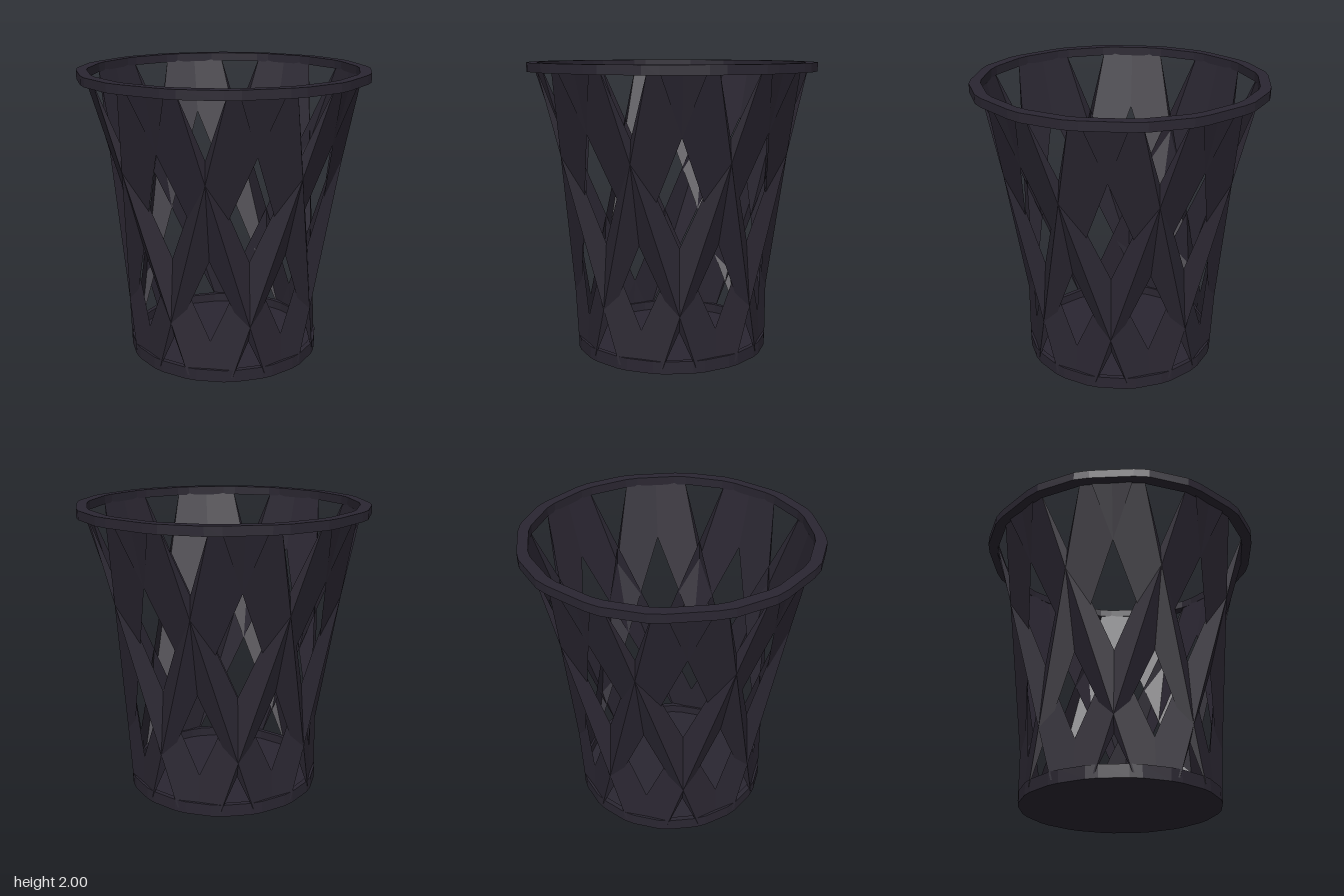
import * as THREE from 'three';

const COUNT = 8;
const material = new THREE.MeshStandardMaterial({ color: 0x2a2631, flatShading: true, side: THREE.DoubleSide });

// Closed outline: four corners per eighth turn, where the strap ends meet the hoop
function outline(PathType, corners) {
  const points = [];
  for (let i = 0; i < COUNT; i++) {
    for (const [degrees, radius] of corners) {
      const a = THREE.MathUtils.degToRad(degrees + i * 45);
      points.push(new THREE.Vector2(radius * Math.cos(a), radius * Math.sin(a)));
    }
  }
  return new PathType(points);
}

// Flat hoop with a faceted rim, lying between two heights
function hoop(name, outer, inner, bottom, top) {
  const shape = outline(THREE.Shape, outer);
  if (inner) shape.holes.push(outline(THREE.Path, inner));
  const geometry = new THREE.ExtrudeGeometry(shape, { depth: top - bottom, bevelEnabled: false });
  geometry.rotateX(-Math.PI / 2).translate(0, bottom, 0);
  const mesh = new THREE.Mesh(geometry, material);
  mesh.name = name;
  return mesh;
}

// Points on the two straight edges of the strap at height y
const leadingEdge = (y) => [0.14 + (y - 1.94) * 0.3554, y, 0.91 + (y - 1.94) * 0.277];
const trailingEdge = (y) => [0.476 + (y - 1.94) * 0.437, y, 0.795 + (y - 1.94) * 0.117];

// Slanted strap: a twisted quad folded along its diagonal
function strapGeometry(side) {
  const low = 0.03, high = 1.97;
  const a = leadingEdge(high), b = trailingEdge(high);
  const c = trailingEdge(low), d = leadingEdge(low);
  const corners = side > 0 ? [a, d, c, a, c, b] : [a, c, d, a, b, c];
  const positions = corners.flatMap(([x, y, z]) => [x * side, y, z]);
  const geometry = new THREE.BufferGeometry();
  geometry.setAttribute('position', new THREE.Float32BufferAttribute(positions, 3));
  geometry.computeVertexNormals();
  return geometry;
}

export function createModel() {
  const model = new THREE.Group();
  model.name = 'wasteBasket';

  // Lattice wall: eight straps leaning each way
  const wall = new THREE.Group();
  wall.name = 'latticeWall';
  for (const side of [1, -1]) {
    const geometry = strapGeometry(side);
    for (let i = 0; i < COUNT; i++) {
      const strap = new THREE.Mesh(geometry, material);
      strap.name = side > 0 ? 'leftLeaningStrap' : 'rightLeaningStrap';
      strap.rotation.y = (i * Math.PI) / 4;
      wall.add(strap);
    }
  }
  model.add(wall);

  // Top rim
  model.add(hoop('topRim',
    [[8, 0.992], [14, 0.985], [31, 0.985], [37, 0.992]],
    [[8.5, 0.916], [14, 0.915], [31, 0.915], [36.5, 0.916]], 1.94, 2));

  // Base rim and floor
  const baseCorners = [[7.8, 0.673], [14.6, 0.673], [30.4, 0.673], [37.2, 0.673]];
  const innerCorners = baseCorners.map(([angle]) => [angle, 0.64]);
  model.add(hoop('baseRim', baseCorners, innerCorners, 0, 0.085));
  model.add(hoop('floor', innerCorners, null, 0, 0.02));

  return model;
}
